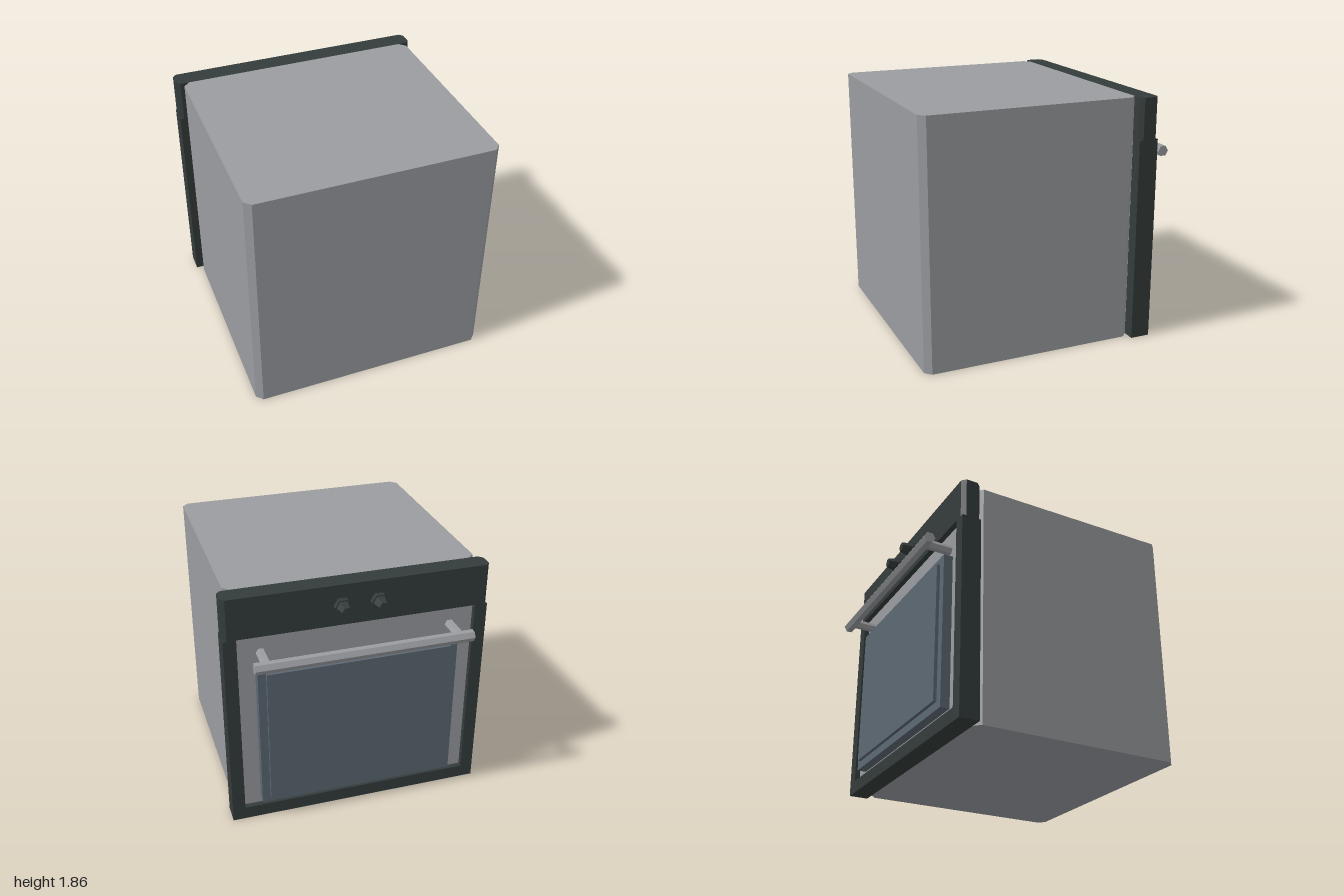
import * as THREE from 'three';

const mat = (name, color) => Object.assign(new THREE.MeshStandardMaterial({ color }), { name });

export function createModel() {
  const steel = mat('steel grey', 0x9a9ca0);
  const dark = mat('dark enamel', 0x343c3b);
  const glass = mat('blue grey glass', 0x5c6873);
  const group = new THREE.Group();

  const add = (name, geometry, material) => {
    const mesh = new THREE.Mesh(geometry, material);
    mesh.name = name;
    group.add(mesh);
    return mesh;
  };

  // Box from its two extreme corners
  const box = (name, material, x0, x1, y0, y1, z0, z1) =>
    add(name, new THREE.BoxGeometry(x1 - x0, y1 - y0, z1 - z0), material)
      .position.set((x0 + x1) / 2, (y0 + y1) / 2, (z0 + z1) / 2);

  // Upright block with its four vertical corners cut off
  const chamferedBlock = (name, material, w, y0, y1, z0, z1, c) => {
    const a = -z1, b = -z0;
    const shape = new THREE.Shape([
      [-w + c, a], [w - c, a], [w, a + c], [w, b - c],
      [w - c, b], [-w + c, b], [-w, b - c], [-w, a + c],
    ].map(([x, y]) => new THREE.Vector2(x, y)));
    const g = new THREE.ExtrudeGeometry(shape, { depth: y1 - y0, bevelEnabled: false });
    g.rotateX(-Math.PI / 2).translate(0, y0, 0);
    add(name, g, material);
  };

  // Hexagonal faceted bar; sides are flat
  const hex = (rTop, rBottom, length) => {
    const g = new THREE.CylinderGeometry(rTop, rBottom, length, 6).toNonIndexed();
    g.computeVertexNormals();
    return g;
  };

  // Oven body and control panel
  chamferedBlock('body', steel, 0.925, 0, 1.86, -0.64, 1, 0.047);
  chamferedBlock('controlPanel', dark, 0.975, 1.55, 1.86, -0.79, -0.64, 0.03);

  // Frame around the door
  for (const s of [-1, 1]) {
    box('framePost', dark, Math.min(s * 0.88, s * 0.975), Math.max(s * 0.88, s * 0.975), 0, 1.55, -0.79, -0.64);
  }
  box('frameSill', dark, -0.88, 0.88, 0, 0.1, -0.79, -0.64);

  // Recessed door with a stepped window
  box('door', steel, -0.88, 0.88, 0.1, 1.55, -0.75, -0.64);
  box('windowSurround', glass, -0.75, 0.75, 0.145, 1.33, -0.82, -0.75);
  box('windowPane', glass, -0.69, 0.69, 0.205, 1.27, -0.845, -0.82);

  // Handle bar on two brackets
  const bar = hex(0.043, 0.043, 1.6).rotateY(Math.PI / 2).rotateZ(Math.PI / 2);
  bar.computeBoundingBox();
  add('handleBar', bar, steel).position.set(0, 1.404, -0.957);
  if (bar.boundingBox.max.z < 0.04) bar.rotateX(Math.PI / 2);
  for (const x of [-0.705, 0.705]) {
    add('handleBracket', hex(0.036, 0.036, 0.19).rotateY(Math.PI / 2).rotateX(-Math.PI / 2), steel)
      .position.set(x, 1.404, -0.845);
  }

  // Control knobs: collar and tapered grip
  for (const x of [-0.137, 0.13]) {
    add('knobCollar', hex(0.0625, 0.0625, 0.04).rotateY(Math.PI / 2).rotateX(-Math.PI / 2), dark)
      .position.set(x, 1.705, -0.81);
    add('knobGrip', hex(0.036, 0.052, 0.075).rotateY(Math.PI / 2).rotateX(-Math.PI / 2), dark)
      .position.set(x, 1.705, -0.867);
  }
  return group;
}
